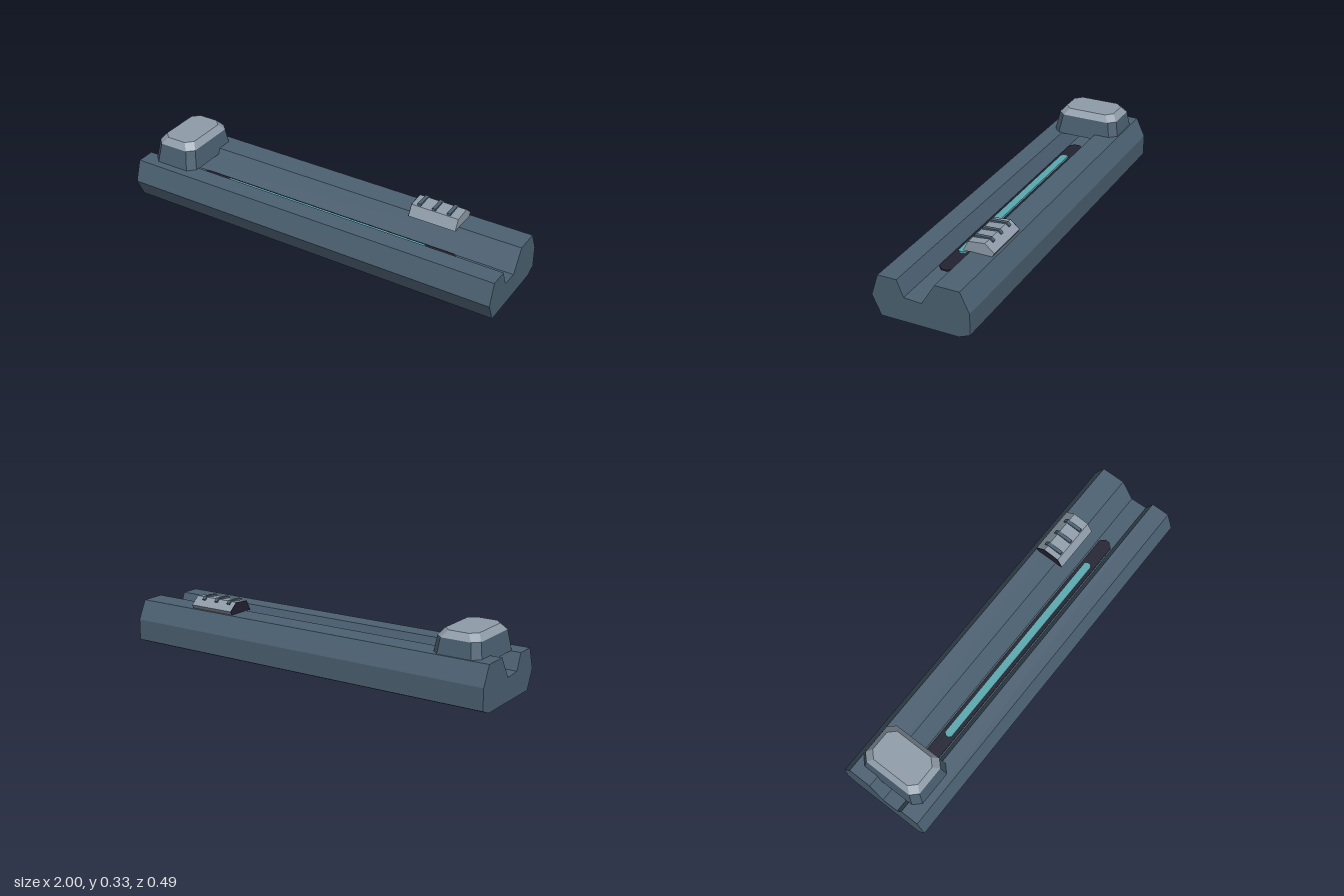
import * as THREE from 'three';

const mat = (name, color) => {
  const m = new THREE.MeshStandardMaterial({ color });
  m.name = name;
  return m;
};

// Extrude a side profile of [z, y] points along x
function prism(points, x0, x1) {
  const shape = new THREE.Shape(points.map(([z, y]) => new THREE.Vector2(-z, y)));
  const g = new THREE.ExtrudeGeometry(shape, { depth: x1 - x0, bevelEnabled: false });
  return g.rotateY(Math.PI / 2).translate(x0, 0, 0);
}

// Rectangle with cut corners, counter-clockwise
function octagon(x0, x1, z0, z1, c) {
  return [[x0 + c, z0], [x1 - c, z0], [x1, z0 + c], [x1, z1 - c],
    [x1 - c, z1], [x0 + c, z1], [x0, z1 - c], [x0, z0 + c]];
}

// Horizontal plate with cut corners, centred at y = 0
function plate(x0, x1, halfWidth, height, c) {
  const shape = new THREE.Shape(octagon(x0, x1, -halfWidth, halfWidth, c).map(p => new THREE.Vector2(...p)));
  const g = new THREE.ExtrudeGeometry(shape, { depth: height, bevelEnabled: false });
  return g.rotateX(-Math.PI / 2).translate(0, -height / 2, 0);
}

// Faceted solid between two octagons at heights y0 and y1
function frustum(low, y0, high, y1) {
  const pos = [];
  const a = low.map(([x, z]) => [x, y0, z]);
  const b = high.map(([x, z]) => [x, y1, z]);
  for (let i = 0; i < 8; i++) {
    const j = (i + 1) % 8;
    pos.push(...a[i], ...b[j], ...a[j], ...a[i], ...b[i], ...b[j]);
    if (i > 0 && i < 7) {
      pos.push(...b[0], ...b[j], ...b[i]);
      pos.push(...a[0], ...a[i], ...a[j]);
    }
  }
  // Ring runs clockwise seen from above, so every triangle is turned outward
  for (let t = 0; t < pos.length; t += 9) {
    const v = [0, 3, 6].map(k => new THREE.Vector3(pos[t + k], pos[t + k + 1], pos[t + k + 2]));
    const n = v[1].clone().sub(v[0]).cross(v[2].clone().sub(v[0]));
    const mid = v[0].clone().add(v[1]).add(v[2]).divideScalar(3);
    const centre = new THREE.Vector3((low[0][0] + low[1][0]) / 2, (y0 + y1) / 2, (low[2][1] + low[3][1]) / 2);
    if (n.dot(mid.sub(centre)) < 0) {
      v[1].toArray(pos, t + 6);
      v[2].toArray(pos, t + 3);
    }
  }
  const g = new THREE.BufferGeometry();
  g.setAttribute('position', new THREE.Float32BufferAttribute(pos, 3));
  g.computeVertexNormals();
  return g;
}

export function createModel() {
  const root = new THREE.Group();
  root.name = 'groovedBeam';
  const slate = mat('slate blue', 0x4c6172);
  const grey = mat('light grey', 0x8f9ca9);
  const navy = mat('dark navy', 0x222233);
  const teal = mat('teal', 0x5aa9b0);
  const add = (name, geometry, material) => {
    const m = new THREE.Mesh(geometry, material);
    m.name = name;
    root.add(m);
    return m;
  };

  // Long beam with a groove along its top
  add('beam', prism([[0.198, 0], [0.243, 0.095], [0.208, 0.203], [0.113, 0.203],
    [0.08, 0.123], [-0.008, 0.117], [-0.075, 0.226], [-0.197, 0.226],
    [-0.243, 0.13], [-0.243, 0.023], [-0.188, 0]], -1, 1), slate);

  // Light strip lying in the groove
  const bed = add('stripBed', plate(-0.735, 0.725, 0.036, 0.006, 0.022), navy);
  bed.position.set(0, 0.1245, 0.037);
  bed.rotation.x = -0.03;
  const light = add('lightStrip', plate(-0.575, 0.565, 0.0195, 0.011, 0.011), teal);
  light.position.set(0, 0.132, 0.0375);

  // Raised block bridging the groove, with a bevelled cap
  const rim = octagon(-0.93, -0.71, -0.177, 0.147, 0.034);
  add('blockBase', frustum(octagon(-0.945, -0.695, -0.195, 0.168, 0.036), 0.2, rim, 0.302), slate);
  add('blockCap', frustum(rim, 0.302, octagon(-0.905, -0.735, -0.15, 0.12, 0.034), 0.334), grey);

  // Small housing on the rear ridge
  const profile = [[-0.037, 0.223], [-0.065, 0.275], [-0.148, 0.284],
    [-0.195, 0.245], [-0.183, 0.224], [-0.075, 0.224]];
  add('housing', prism(profile, 0.434, 0.68), grey);
  add('housingEnd', prism(profile, 0.431, 0.434), navy);

  // Three ribs across the housing
  for (const x of [0.47, 0.548, 0.626]) {
    add('rib', prism([[-0.068, 0.27], [-0.071, 0.286], [-0.152, 0.29],
      [-0.168, 0.276], [-0.16, 0.262]], x - 0.009, x + 0.009), slate);
  }
  return root;
}
